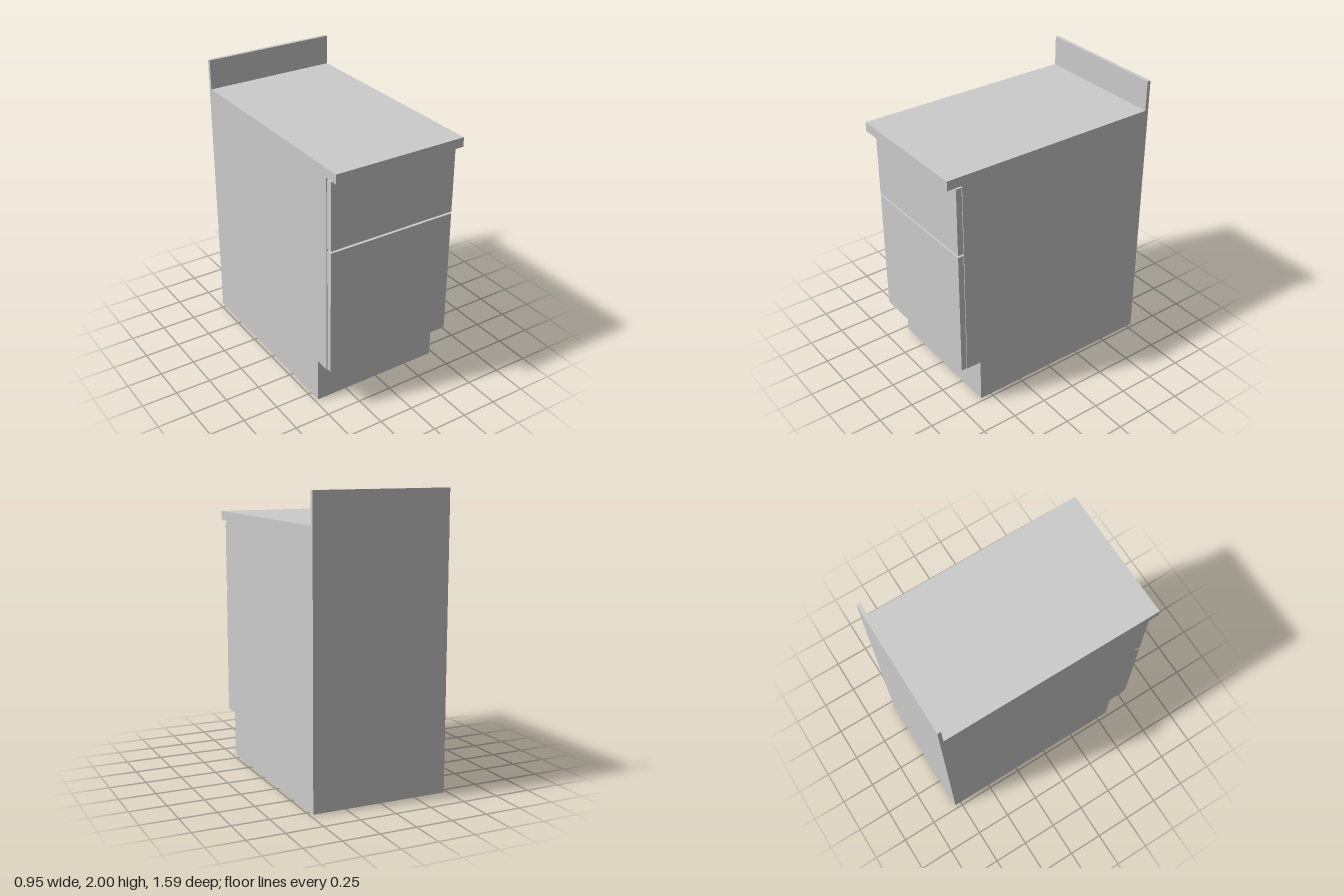
import * as THREE from 'three';

const material = new THREE.MeshStandardMaterial({ color: 0xcccccc });
const WIDTH = 0.95;
const BACK = -0.795;

// Box given by its width and its y and z ranges, centred on x = 0
function slab(name, width, y0, y1, z0, z1) {
  const mesh = new THREE.Mesh(new THREE.BoxGeometry(width, y1 - y0, z1 - z0), material);
  mesh.name = name;
  mesh.position.set(0, (y0 + y1) / 2, (z0 + z1) / 2);
  return mesh;
}

// Side profile (z, y) extruded across the width
function profile(name, points, width) {
  const shape = new THREE.Shape(points.map(([z, y]) => new THREE.Vector2(z, y)));
  const geometry = new THREE.ExtrudeGeometry(shape, { depth: width, bevelEnabled: false });
  geometry.translate(0, 0, -width / 2).rotateY(-Math.PI / 2);
  const mesh = new THREE.Mesh(geometry, material);
  mesh.name = name;
  return mesh;
}

export function createModel() {
  const group = new THREE.Group();
  group.name = 'baseCabinet';

  // Carcass with recessed toe kick
  group.add(profile('carcass', [
    [BACK, 0], [0.583, 0], [0.583, 0.32], [0.69, 0.32], [0.69, 1.725], [BACK, 1.725],
  ], WIDTH));

  // Countertop with a front overhang, and the upstand at its back edge
  group.add(profile('countertop', [
    [BACK, 1.725], [0.795, 1.725], [0.795, 1.79], [-0.77, 1.79], [-0.77, 2], [BACK, 2],
  ], WIDTH));

  // Drawer front and door, set slightly in from the sides
  group.add(slab('drawerFront', 0.938, 1.237, 1.71, 0.69, 0.73));
  group.add(slab('door', 0.938, 0.32, 1.223, 0.69, 0.73));

  return group;
}
